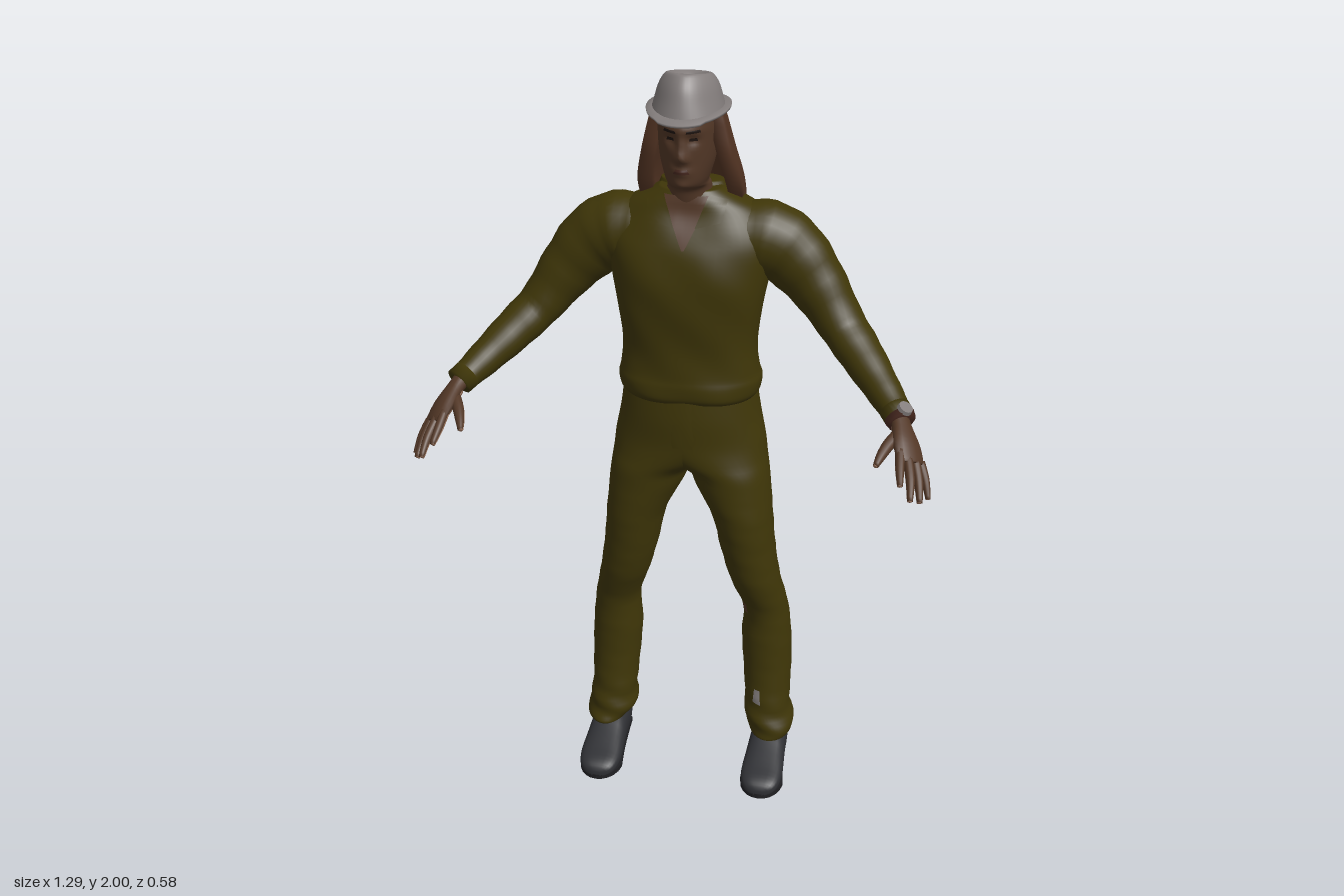
import * as THREE from 'three';

const mat = (name, color, side = THREE.FrontSide) => {
  const m = new THREE.MeshStandardMaterial({ color, side });
  m.name = name;
  return m;
};
const V = (x, y, z) => new THREE.Vector3(x, y, z);

// skin over a list of rings, each an equal number of points
function loft(rings, cap = true) {
  const n = rings[0].length, pos = [], idx = [];
  rings.forEach(r => r.forEach(p => pos.push(p.x, p.y, p.z)));
  for (let i = 0; i < rings.length - 1; i++) for (let j = 0; j < n; j++) {
    const a = i * n + j, b = i * n + (j + 1) % n;
    idx.push(a, b, a + n, b, b + n, a + n);
  }
  if (cap) [0, rings.length - 1].forEach((ri, end) => {
    const c = V(0, 0, 0), k = pos.length / 3;
    rings[ri].forEach(p => c.addScaledVector(p, 1 / n));
    pos.push(c.x, c.y, c.z);
    for (let j = 0; j < n; j++) {
      const a = ri * n + j, b = ri * n + (j + 1) % n;
      if (end) idx.push(a, b, k); else idx.push(b, a, k);
    }
  });
  const g = new THREE.BufferGeometry();
  g.setAttribute('position', new THREE.Float32BufferAttribute(pos, 3));
  g.setIndex(idx);
  g.computeVertexNormals();
  return g;
}

// smooth interpolation between rows of numbers
function smooth(rows, sub) {
  const out = [], at = i => rows[Math.min(rows.length - 1, Math.max(0, i))];
  for (let i = 0; i < rows.length - 1; i++) for (let k = 0; k < sub; k++) {
    const t = k / sub;
    out.push(rows[i].map((b, c) => {
      const a = at(i - 1)[c], d = at(i + 1)[c], e = at(i + 2)[c];
      return b + 0.5 * t * (d - a + t * (2 * a - 5 * b + 4 * d - e + t * (3 * (b - d) + e - a)));
    }));
  }
  out.push(rows[rows.length - 1]);
  return out;
}

function ring(c, u, v, seg, e = 1) {
  const f = t => Math.sign(t) * Math.abs(t) ** e;
  return Array.from({ length: seg }, (_, j) => {
    const a = j / seg * Math.PI * 2;
    return c.clone().addScaledVector(u, f(Math.cos(a))).addScaledVector(v, f(Math.sin(a)));
  });
}

// upright form; rows are [y, centre x, halfwidth, front z, back z]
function tower(rows, { seg = 40, sub = 4, e = 1, deform } = {}) {
  return loft(smooth(rows, sub).map(([y, cx, rx, f, b]) => {
    const r = ring(V(cx, y, (f + b) / 2), V(rx, 0, 0), V(0, 0, -(f - b) / 2), seg, e);
    if (deform) r.forEach(deform);
    return r;
  }));
}

// form along a path; rows are [x, y, z, radius across, radius thick]
function limb(rows, s, across = V(0, 1, 0), seg = 16, sub = 4, deform) {
  const pts = smooth(rows.map(r => [r[0] * s, ...r.slice(1)]), sub), P = pts.map(r => V(r[0], r[1], r[2]));
  return loft(pts.map((r, i) => {
    const t = P[Math.min(i + 1, P.length - 1)].clone().sub(P[Math.max(i - 1, 0)]).normalize();
    const u = across.clone().addScaledVector(t, -across.dot(t)).normalize(), v = t.clone().cross(u);
    const k = deform ? deform(i) : 1;
    return ring(P[i], u.multiplyScalar(r[3] * k), v.multiplyScalar(r[4] * k), seg);
  }));
}

// thin patch laid on the front of a mesh; corners are [x, y], going round
function patch(mesh, [a, b, c, d], off, n = 8) {
  const g = new THREE.PlaneGeometry(1, 1, n, n), p = g.attributes.position, ray = new THREE.Raycaster();
  let last = -0.06;
  for (let i = 0; i < p.count; i++) {
    const u = p.getX(i) + 0.5, v = p.getY(i) + 0.5;
    const q = k => (a[k] * (1 - u) + b[k] * u) * (1 - v) + (d[k] * (1 - u) + c[k] * u) * v;
    ray.set(V(q(0), q(1), 2), V(0, 0, -1));
    const hit = ray.intersectObject(mesh)[0];
    if (hit) last = hit.point.z;
    p.setXYZ(i, q(0), q(1), last + off);
  }
  g.computeVertexNormals();
  return g;
}

export function createModel() {
  const root = new THREE.Group();
  root.name = 'standingFigure';
  const D = THREE.DoubleSide;
  const olive = mat('oliveCloth', 0x3f3608, D), skin = mat('brownSkin', 0x523726, D), palm = mat('palmSkin', 0xa07860);
  const hairM = mat('brownHair', 0x533423, D), felt = mat('greyFelt', 0x827c7b, D), leather = mat('darkLeather', 0x2f3034);
  const sole = mat('blackSole', 0x202023), dark = mat('darkBrown', 0x1e1410, D), lip = mat('lipBrown', 0x47281f, D);
  const add = (name, geo, m) => {
    const mesh = new THREE.Mesh(geo, m);
    mesh.name = name;
    root.add(mesh);
    mesh.updateMatrixWorld();
    return mesh;
  };

  // shirt body with soft folds
  const shirt = add('shirt', tower([
    [1.155, 0, .172, -.005, -.24], [1.17, 0, .182, .003, -.246], [1.2, 0, .186, .004, -.244], [1.23, 0, .179, 0, -.232],
    [1.3, 0, .173, 0, -.225], [1.4, 0, .185, .01, -.235], [1.48, 0, .2, .012, -.245], [1.55, 0, .21, 0, -.25],
    [1.6, 0, .205, -.02, -.245], [1.65, 0, .17, -.045, -.225], [1.685, 0, .11, -.052, -.2], [1.705, 0, .075, -.06, -.175],
  ], { seg: 56, e: .85, deform: p => { p.z += .003 * Math.sin(p.x * 35 + p.y * 12) * Math.sin(p.y * 26); } }), olive);
  add('neckOpening', patch(shirt, [[-.003, 1.57], [.003, 1.57], [.062, 1.695], [-.062, 1.695]], .004, 12), skin);
  add('collarBand', tower([[1.665, 0, .095, -.085, -.2], [1.69, 0, .088, -.095, -.19], [1.715, 0, .078, -.105, -.18]]), olive);

  // head and neck with a shaped face
  const bump = (p, x, y, sx, sy, h) => h * Math.exp(-(((p.x - x) / sx) ** 2) - ((p.y - y) / sy) ** 2);
  const head = add('head', tower([
    [1.6, 0, .065, -.06, -.17], [1.68, 0, .058, -.048, -.16], [1.715, 0, .054, -.038, -.16], [1.73, 0, .05, -.002, -.16],
    [1.75, 0, .056, .01, -.165], [1.79, 0, .067, .011, -.175], [1.84, 0, .073, .014, -.185],
    [1.88, 0, .074, .015, -.185], [1.92, 0, .07, .005, -.18], [1.96, 0, .05, -.03, -.15],
  ], {
    seg: 72, sub: 6, deform: p => {
      if (p.z < -.06) return;
      p.z += bump(p, 0, 1.81, .015, .015, .018) + bump(p, 0, 1.835, .009, .025, .01) + bump(p, 0, 1.774, .022, .011, .007)
        + bump(p, 0, 1.737, .02, .012, .005) + bump(p, 0, 1.874, .05, .01, .004);
      for (const s of [-1, 1]) p.z += bump(p, s * .028, 1.85, .015, .012, -.008) + bump(p, s * .013, 1.805, .007, .007, .005);
    },
  }), skin);
  add('mouth', patch(head, [[-.02, 1.769], [.02, 1.769], [.014, 1.781], [-.014, 1.781]], .0015), lip);

  // long hair, a curtain open at the face
  const hairRows = smooth([
    [1.9, .086, -.045, -.188], [1.87, .094, -.045, -.198], [1.8, .11, -.05, -.22], [1.72, .126, -.085, -.243],
    [1.64, .126, -.15, -.268], [1.54, .118, -.205, -.288], [1.4, .122, -.225, -.292], [1.3, .132, -.235, -.287], [1.2, .143, -.235, -.282],
  ], 5).reverse();
  add('hair', loft(hairRows.map(([y, w, f, b], i) => {
    const pts = [], N = 80, flat = y < 1.6 ? .42 : .42 + (y - 1.6) * .6;
    for (let k = 0; k <= N; k++) {
      const a = k / N * Math.PI, st = .0012 * Math.sin(k * 1.05 + y * 4) + .0012 * Math.sin(k * .43 + y * 3);
      const hang = i === 0 ? .008 * Math.sin(k * .7) : 0;
      pts.push(V((w + st) * Math.cos(a), y + hang, f + (b - f - st) * Math.sin(a) ** flat));
    }
    for (let k = N; k >= 0; k -= 2) {
      const a = k / N * Math.PI;
      pts.push(V((w - .034) * Math.cos(a), y, f + (b - f + .028) * Math.sin(a) ** flat));
    }
    return pts;
  }), false), hairM);

  // hat: creased crown and thin brim
  add('hatCrown', tower([
    [1.9, 0, .09, .036, -.204], [1.93, 0, .082, .026, -.196], [1.96, 0, .074, .014, -.19], [1.982, 0, .064, -.002, -.178],
    [1.995, 0, .052, -.018, -.16], [1.99, 0, .036, -.035, -.14], [1.972, 0, .014, -.055, -.12],
  ], {
    deform: p => {
      const h = Math.max(0, (p.y - 1.9) / .1);
      p.y = Math.min(2, p.y + (p.z + .055) * .2 * h);
      p.x *= 1 - .3 * h * THREE.MathUtils.smoothstep(p.z, -.07, .03);
    },
  }), felt);
  add('hatBrim', tower([
    [1.898, 0, .08, .025, -.195], [1.898, 0, .1, .058, -.234], [1.904, 0, .101, .06, -.236], [1.909, 0, .085, .03, -.2],
  ], { sub: 1, seg: 48, deform: p => { p.y += .8 * p.x * p.x - .004 * (p.z > .03); } }), felt);

  for (const s of [-1, 1]) {
    const side = s > 0 ? 'left' : 'right', mx = q => q.map(([x, y]) => [x * s, y]);

    // face details and collar flap
    add(side + 'Eye', patch(head, mx([[.018, 1.849], [.038, 1.848], [.036, 1.856], [.02, 1.856]]), .0015), dark);
    add(side + 'Brow', patch(head, mx([[.012, 1.868], [.045, 1.87], [.043, 1.877], [.014, 1.875]]), .0015), dark);
    add(side + 'CollarFlap', patch(shirt, mx([[.026, 1.622], [.092, 1.638], [.1, 1.685], [.056, 1.7]]), .012), olive);

    // trouser half, gathered at the ankle and meeting its twin at the hips
    const leg = add(side + 'TrouserLeg', tower([
      [.095, .238, .052, -.055, -.2], [.105, .236, .06, -.052, -.212], [.14, .227, .069, -.06, -.212], [.2, .221, .063, -.07, -.202],
      [.3, .217, .067, -.08, -.218], [.4, .212, .069, -.08, -.224], [.5, .208, .062, -.076, -.218], [.6, .181, .068, -.042, -.202],
      [.7, .16, .074, -.025, -.204], [.8, .144, .081, -.013, -.212], [.89, .117, .1, -.01, -.222], [.94, .1, .111, -.008, -.234],
      [.98, .05, .155, -.005, -.245], [1.03, 0, .199, -.002, -.25], [1.1, 0, .185, 0, -.255], [1.17, 0, .175, -.005, -.238],
    ].map(([y, x, ...r]) => [y, x * s, ...r]), {
      seg: 48, deform: p => {
        if (p.x * s < -.03) p.x = -.03 * s;
        const k = Math.max(.15, 1 - p.y / .3) * (p.y < .85 ? 1 : 0);
        p.z += .006 * k * Math.sin(p.y * 95 + p.x * 30);
        p.x += .005 * k * Math.sin(p.y * 80 + p.z * 30);
      },
    }), olive);
    if (s > 0) {
      add('shinPatch', patch(leg, [[.187, .21], [.21, .205], [.206, .25], [.19, .252]], .003), felt);
      add('kneeTear', patch(leg, [[.152, .495], [.166, .492], [.162, .525], [.15, .53]], .003), skin);
    }

    // shoe, built from heel to toe, with sole, heel and worn arch
    add(side + 'Shoe', loft(smooth([
      [-.21, .025, .075], [-.2, .042, .1], [-.15, .05, .115], [-.09, .052, .11], [-.04, .055, .09],
      [.02, .058, .068], [.06, .051, .056], [.08, .036, .044], [.088, .012, .03],
    ], 3).map(([z, w, h]) => ring(V(.231 * s, (h + .012) / 2, z), V(w, 0, 0), V(0, (h - .012) / 2, 0), 24, .75))), leather);
    const outline = new THREE.Shape();
    outline.moveTo(-.042, .2).bezierCurveTo(-.03, .22, .03, .22, .042, .2).bezierCurveTo(.046, .1, .05, .05, .06, -.02);
    outline.bezierCurveTo(.05, -.113, -.05, -.113, -.06, -.02).bezierCurveTo(-.05, .05, -.046, .1, -.042, .2);
    const soleGeo = new THREE.ExtrudeGeometry(outline, { depth: .014, bevelEnabled: false, curveSegments: 10 });
    add(side + 'Sole', soleGeo.rotateX(-Math.PI / 2).translate(.231 * s, .006, 0), sole);
    add(side + 'Heel', new THREE.CylinderGeometry(.043, .041, .012, 24).scale(1, 1, 1.15).translate(.231 * s, .006, -.158), sole);
    add(side + 'Arch', new THREE.CylinderGeometry(.024, .024, .004, 20).scale(1, 1, 1.2).translate(.231 * s, .005, -.06), skin);

    // sleeve and cuff
    add(side + 'Sleeve', limb([
      [.12, 1.575, -.13, .085, .085], [.185, 1.57, -.138, .096, .092], [.25, 1.535, -.14, .092, .083], [.32, 1.458, -.13, .075, .073],
      [.388, 1.368, -.1, .057, .063], [.446, 1.312, -.045, .052, .056], [.51, 1.255, .03, .043, .044], [.553, 1.22, .09, .034, .036],
    ], s, undefined, 28, 5, i => 1 + .018 * Math.sin(i * 1.7)), olive);
    add(side + 'Cuff', limb([[.54, 1.231, .072, .037, .039], [.556, 1.218, .095, .036, .038]], s, undefined, 24, 1), olive);

    // hand: palm and five digits, each with a paler inner face
    const across = V(.76 * s, -.46, -.46), inner = [-.61, -.73, -.28];
    const digits = {
      Hand: [[.55, 1.222, .085, .025, .022], [.562, 1.207, .115, .027, .02], [.577, 1.182, .155, .039, .02], [.59, 1.158, .188, .041, .015], [.594, 1.15, .198, .035, .011]],
      Index: [[.566, 1.178, .19, .012, .012], [.57, 1.152, .232, .011, .011], [.575, 1.127, .272, .007, .007]],
      Middle: [[.585, 1.163, .193, .012, .012], [.597, 1.128, .243, .011, .011], [.601, 1.095, .284, .007, .007]],
      Ring: [[.603, 1.15, .182, .012, .012], [.616, 1.113, .22, .011, .011], [.623, 1.078, .256, .007, .007]],
      Little: [[.615, 1.14, .167, .011, .011], [.631, 1.104, .192, .01, .01], [.641, 1.068, .217, .006, .006]],
      Thumb: [[.56, 1.197, .13, .016, .016], [.537, 1.183, .172, .015, .014], [.522, 1.168, .208, .012, .011], [.513, 1.155, .235, .007, .007]],
    };
    for (const [name, rows] of Object.entries(digits)) {
      add(side + name, limb(rows, s, across, 14), skin);
      const pale = rows.slice(name === 'Hand' ? 1 : 0).map(([x, y, z, a, b]) =>
        [x + inner[0] * b * .3, y + inner[1] * b * .3, z + inner[2] * b * .3, a * .88, b * .8]);
      add(side + name + 'Inside', limb(pale, s, across, 14), palm);
    }
  }

  // wristwatch on the left arm
  add('watchStrap', limb([[.554, 1.22, .092, .037, .039], [.562, 1.213, .104, .034, .036]], 1, undefined, 24, 1), lip);
  const watch = add('watchFace', new THREE.CylinderGeometry(.018, .02, .01, 24), felt);
  watch.position.set(.567, 1.249, .102);
  watch.quaternion.setFromUnitVectors(V(0, 1, 0), V(.45, .85, .25).normalize());
  return root;
}
